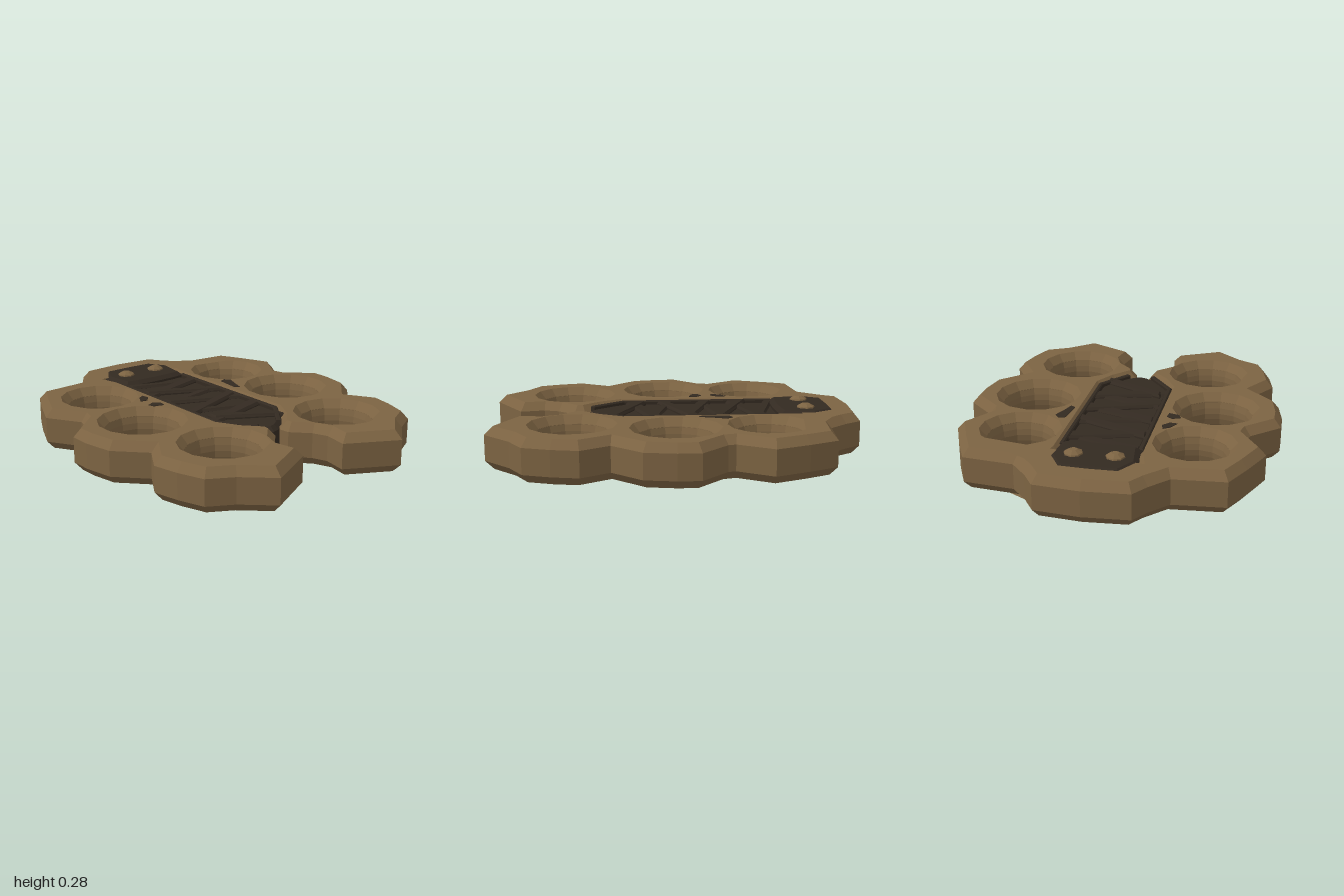
import * as THREE from 'three';

const MID = 0.1425; // mid-height of the whole piece

// Flat slab from [x, z] points, lying between y0 and y1 with chamfered rims
function slab(points, y0, y1, bevel, rise = bevel, holes = []) {
  const toPath = (pts) => pts.map(([x, z]) => new THREE.Vector2(x, -z));
  const shape = new THREE.Shape(toPath(points));
  holes.forEach((h) => shape.holes.push(new THREE.Path(toPath(h))));
  const geo = new THREE.ExtrudeGeometry(shape, {
    depth: y1 - y0 - 2 * rise, bevelEnabled: bevel > 0, bevelSize: bevel,
    bevelThickness: rise, bevelOffset: -bevel, bevelSegments: 1,
  });
  return geo.rotateX(-Math.PI / 2).translate(0, y0 + rise, 0);
}

// Completes a half outline by reflecting it across x = 0
function mirrored(half) {
  const other = half.filter(([x]) => x > 0).map(([x, z]) => [-x, z]).reverse();
  return [...half, ...other];
}

function ring(x, z, r, n = 14) {
  return Array.from({ length: n }, (_, i) => {
    const a = (i / n) * Math.PI * 2;
    return [x + Math.sin(a) * r, z + Math.cos(a) * r];
  });
}

export function createModel() {
  const group = new THREE.Group();
  const brass = new THREE.MeshStandardMaterial({ color: 0x7c6342, flatShading: true, side: THREE.DoubleSide });
  const leather = new THREE.MeshStandardMaterial({ color: 0x332a21, flatShading: true });
  brass.name = 'aged brass';
  leather.name = 'dark leather';

  const add = (parent, name, geo, mat) => {
    const mesh = new THREE.Mesh(geo, mat);
    mesh.name = name;
    parent.add(mesh);
    return mesh;
  };

  // Frame: scalloped outer edge, then the central slot open at the front
  const frameHalf = [
    [0, -1], [0.24, -0.98], [0.3, -0.89], [0.39, -0.79], [0.66, -0.765], [0.735, -0.61],
    [0.81, -0.43], [0.7, -0.25], [0.71, -0.21], [0.857, -0.07], [0.855, 0.05], [0.825, 0.21],
    [0.68, 0.36], [0.77, 0.51], [0.74, 0.65], [0.69, 0.79], [0.56, 0.86], [0.41, 0.995],
    [0.135, 0.85], [0.16, 0.72], [0.13, 0.64], [0.045, 0.55], [0.04, 0.49], [0.13, 0.39],
    [0.19, 0.28], [0.19, -0.64], [0.215, -0.74], [0.15, -0.855], [0, -0.87],
  ];
  const fingers = [
    [0.455, -0.453, 0.165],
    [0.5, 0.028, 0.187],
    [0.388, 0.553, 0.181],
  ].flatMap(([x, z, r]) => [[x, z, r], [-x, z, r]]);
  add(group, 'frame', slab(mirrored(frameHalf), 0.03, 0.255, 0.038, 0.045,
    fingers.map(([x, z, r]) => ring(x, z, r + 0.012))), brass);

  // Rounded inner walls of the finger holes
  fingers.forEach(([x, z, r]) => {
    const profile = [[0.013, 0.212], [0.002, 0.175], [-0.002, MID], [0.002, 0.11], [0.013, 0.073]]
      .map(([dr, y]) => new THREE.Vector2(r + dr, y));
    add(group, 'fingerHoleWall', new THREE.LatheGeometry(profile, 14).translate(x, 0, z), brass);
  });

  // Grip core with a pointed front end
  const core = mirrored([
    [0, -0.85], [0.15, -0.845], [0.205, -0.74], [0.205, 0.28], [0.12, 0.42], [0.045, 0.475], [0, 0.49],
  ]);
  add(group, 'gripCore', slab(core, 0.055, 0.23, 0.025), leather);

  // Same details on the upper and lower faces
  const capOutline = mirrored([
    [0, -0.865], [0.155, -0.86], [0.225, -0.745], [0.2, -0.56], [0.12, -0.55], [0, -0.545],
  ]);
  const patches = [
    [[-0.33, -0.235], [-0.3, -0.29], [-0.265, -0.315], [-0.255, -0.27], [-0.29, -0.23]],
    [[-0.335, -0.155], [-0.29, -0.175], [-0.26, -0.15], [-0.265, -0.105], [-0.32, -0.12]],
    [[0.265, -0.27], [0.3, -0.285], [0.325, -0.25], [0.3, -0.19], [0.275, -0.11], [0.25, -0.13]],
  ];
  for (const side of ['upper', 'lower']) {
    const face = new THREE.Group();
    face.name = side + 'Face';
    if (side === 'lower') {
      face.rotation.z = Math.PI;
      face.position.y = 2 * MID;
    }
    group.add(face);

    // Riveted end cap
    add(face, 'gripCap', slab(capOutline, 0.19, 0.263, 0.025, 0.02), leather);
    for (const x of [-0.105, 0.105]) {
      add(face, 'rivet', new THREE.CylinderGeometry(0.047, 0.052, 0.016, 8).translate(x, 0.262, -0.71), brass);
      add(face, 'rivetDome', new THREE.CylinderGeometry(0.02, 0.047, 0.015, 8).translate(x, 0.2775, -0.71), brass);
    }

    // Crossed leather wraps, zigzagging down the grip
    for (let i = 0; i < 9; i++) {
      const z = -0.49 + i * 0.095;
      const slope = (i % 2 ? -1 : 1) * (0.05 + 0.015 * (i % 3));
      const w = 0.036 + 0.006 * ((i * 2) % 3);
      const reach = i === 8 ? 0.17 : 0.198;
      const strip = [[-reach, z - slope - w], [reach, z + slope - w * 0.7],
        [reach, z + slope + w], [-reach, z - slope + w * 0.6]];
      const mesh = add(face, 'gripWrap', slab(strip, 0.205, 0.243 + 0.004 * (i % 3), 0.012, 0.014), leather);
      mesh.rotation.z = (i % 2 ? 1 : -1) * 0.015;
    }

    // Raised edges along the grip
    for (const s of [-1, 1]) {
      const rail = [[0.19, -0.57], [0.215, -0.57], [0.213, 0.28], [0.08, 0.46], [0.06, 0.44], [0.188, 0.27]]
        .map(([x, z]) => [s * x, z]);
      add(face, 'gripEdge', slab(rail, 0.18, 0.25, 0.006), leather);
    }

    // Dark worn patches between the finger holes
    patches.forEach((p) => add(face, 'wornPatch', slab(p, 0.253, 0.258, 0, 0), leather));
  }
  return group;
}
